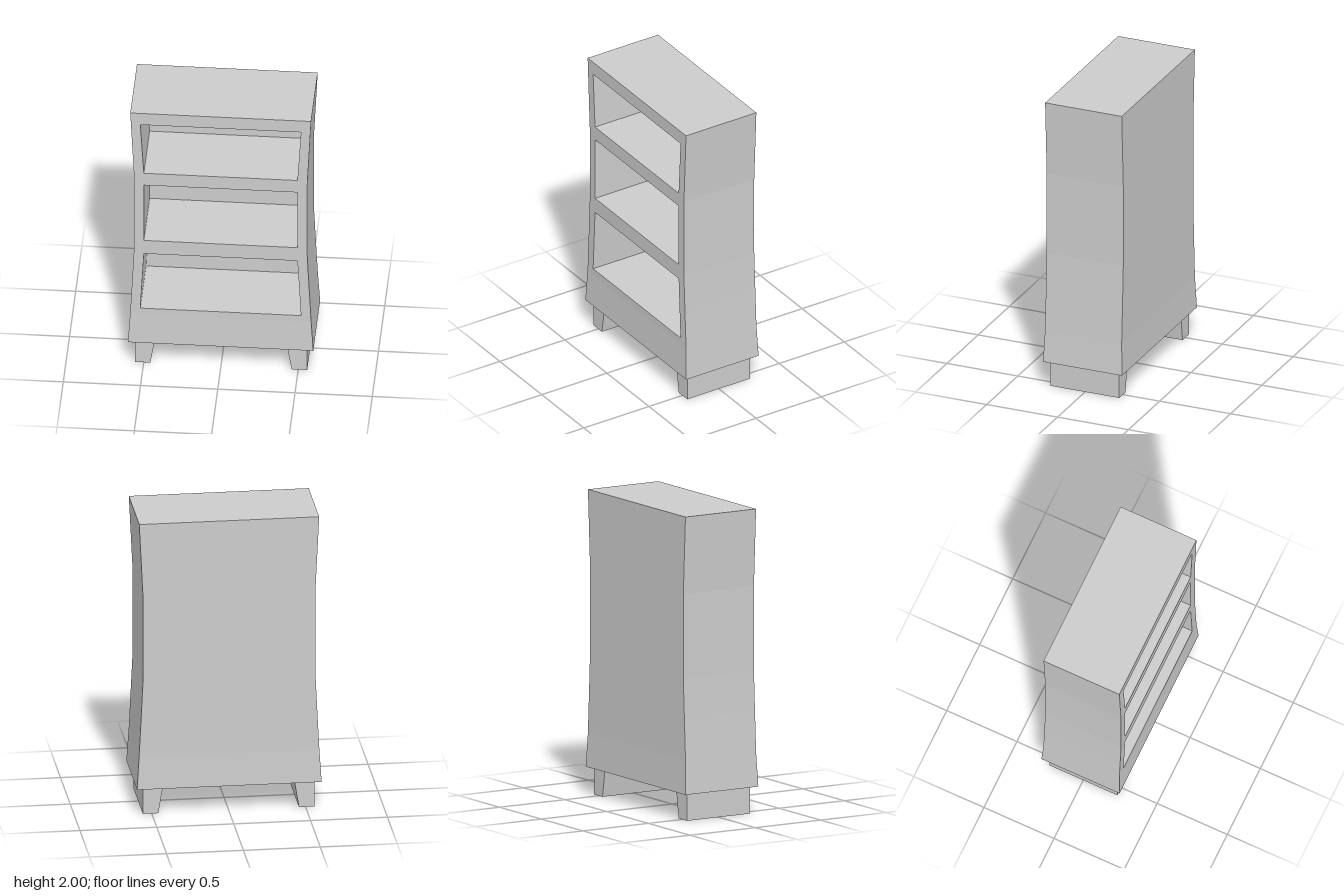
import * as THREE from 'three';

const material = new THREE.MeshStandardMaterial({ color: 0xcccccc, flatShading: true });
const FRONT = 0.27, BACK = -0.27, CAVITY_BACK = -0.195, PLINTH_TOP = 0.4;

const points = (list) => list.map(([x, y]) => new THREE.Vector2(x, y));

// Closed outline from its right-hand edge (listed upwards), mirrored to the left
const mirrored = (edge) =>
  points([...edge, ...[...edge].reverse().map(([x, y]) => [-x, y])]);

// Flat outline extruded between two depths
function slab(name, outline, z0, z1, holes = []) {
  const shape = new THREE.Shape(outline);
  shape.holes = holes.map((h) => new THREE.Path(h));
  const geometry = new THREE.ExtrudeGeometry(shape, { depth: z1 - z0, bevelEnabled: false });
  geometry.translate(0, 0, z0);
  const mesh = new THREE.Mesh(geometry, material);
  mesh.name = name;
  return mesh;
}

export function createModel() {
  const group = new THREE.Group();
  group.name = 'bookcase';

  // Waisted case with three open compartments
  const caseOutline = mirrored([
    [0.586, PLINTH_TOP], [0.573, 0.66], [0.56, 0.935], [0.56, 1.49], [0.585, 2],
  ]);
  const openings = [
    [[0.52, 0.45], [0.497, 0.885]],
    [[0.497, 0.99], [0.497, 1.43]],
    [[0.497, 1.525], [0.52, 1.91]],
  ].map(mirrored);
  group.add(slab('shelfCase', caseOutline, CAVITY_BACK, FRONT, openings));
  group.add(slab('backPanel', caseOutline, BACK, CAVITY_BACK));

  // Plinth, flaring towards its lower edge
  const plinth = slab('plinth', mirrored([[0.6, 0.18], [0.586, PLINTH_TOP]]), BACK, FRONT);
  const position = plinth.geometry.attributes.position;
  for (let i = 0; i < position.count; i++) {
    if (position.getY(i) < 0.2) position.setZ(i, Math.sign(position.getZ(i)) * 0.278);
  }
  plinth.geometry.computeVertexNormals();
  group.add(plinth);

  // Runner feet with a sloping inner side
  for (const [side, name] of [[1, 'leftFoot'], [-1, 'rightFoot']]) {
    const outline = points([
      [0.457, 0], [0.558, 0], [0.558, 0.18], [0.428, 0.18],
    ].map(([x, y]) => [side * x, y]));
    group.add(slab(name, outline, -0.24, 0.243));
  }

  return group;
}
